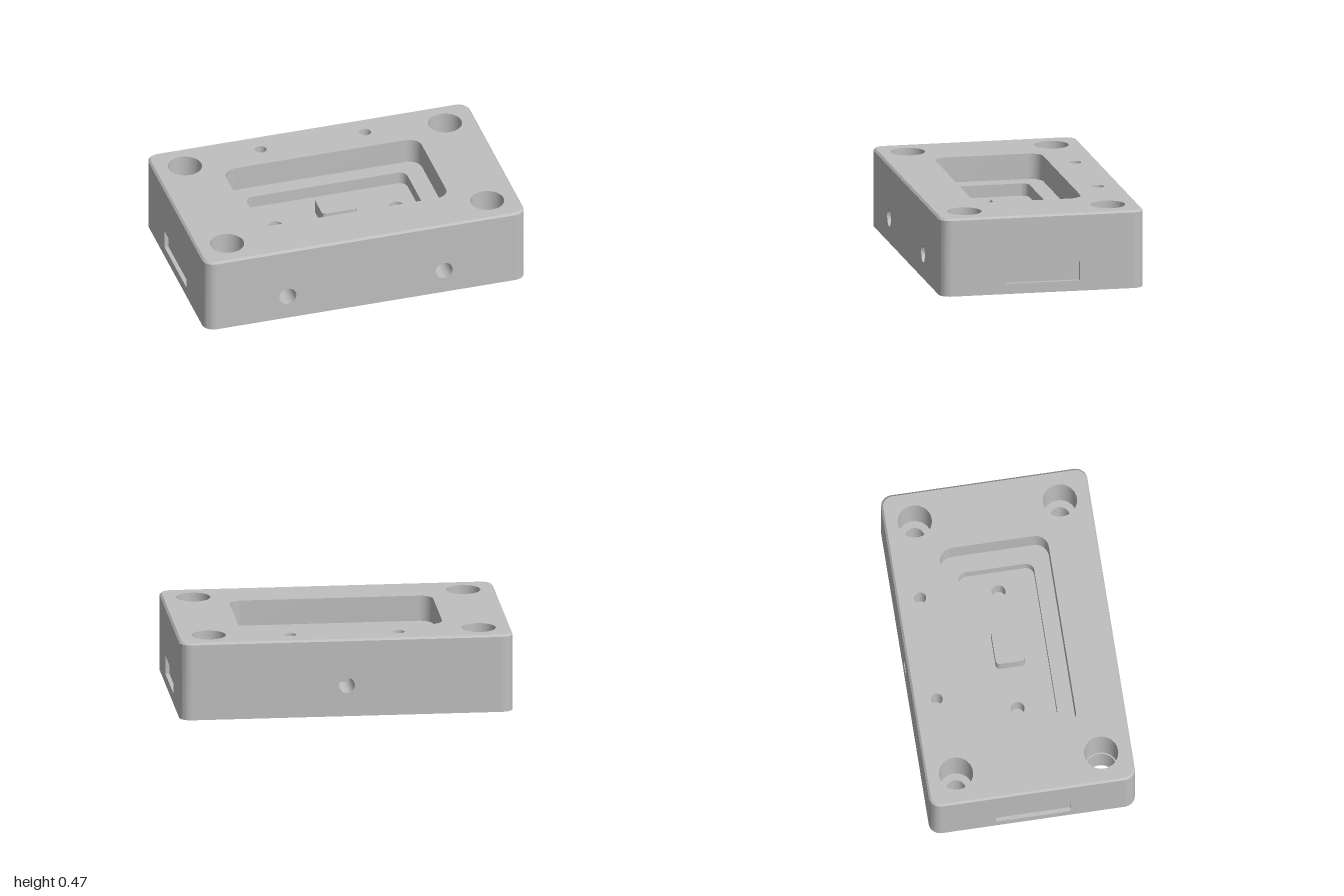
import * as THREE from 'three';
import { toCreasedNormals } from 'three/addons/utils/BufferGeometryUtils.js';

const HX = 1, HZ = 0.622, TOP = 0.475, R = 0.07, CH = 0.012;
const LEDGE = 0.32, FLOOR = 0.245;

// Counter-clockwise outlines in a local plane
function circle(cx, cy, r, n = 40) {
  return Array.from({ length: n }, (_, i) => {
    const a = (i / n) * Math.PI * 2;
    return new THREE.Vector2(cx + r * Math.cos(a), cy + r * Math.sin(a));
  });
}
function roundedRect(hx, hy, r, n = 10) {
  const pts = [];
  [[1, 1], [-1, 1], [-1, -1], [1, -1]].forEach(([sx, sy], q) => {
    for (let i = 0; i <= n; i++) {
      const a = (q + i / n) * Math.PI / 2;
      pts.push(new THREE.Vector2(sx * (hx - r) + r * Math.cos(a), sy * (hy - r) + r * Math.sin(a)));
    }
  });
  return pts;
}
function rect(x0, y0, x1, y1) {
  return [[x0, y0], [x1, y0], [x1, y1], [x0, y1]].map(p => new THREE.Vector2(...p));
}

export function createModel() {
  const model = new THREE.Group();
  model.name = 'housingBlock';
  const metal = new THREE.MeshStandardMaterial({ color: 0xbfbfbf });
  metal.name = 'grey metal';

  const add = (parent, name, geometry) => {
    const mesh = new THREE.Mesh(geometry, metal);
    mesh.name = name;
    parent.add(mesh);
    return mesh;
  };

  // Flat face at height w with holes cut out, facing local +z
  const face = (parent, name, outline, w, holes = []) => {
    const shape = new THREE.Shape(outline);
    shape.holes = holes.map(h => new THREE.Path(h));
    return add(parent, name, new THREE.ShapeGeometry(shape).translate(0, 0, w));
  };

  // Wall from outline a at height wa to outline b at height wb;
  // wa below wb faces outward, wa above wb faces inward
  const wall = (parent, name, a, wa, b, wb, maxLength = Infinity) => {
    const pos = [];
    a.forEach((p, i) => {
      const j = (i + 1) % a.length;
      if (p.distanceTo(a[j]) > maxLength || p.distanceTo(a[j]) < 1e-6) return;
      const A = [p.x, p.y, wa], B = [a[j].x, a[j].y, wa];
      const C = [b[j].x, b[j].y, wb], D = [b[i].x, b[i].y, wb];
      pos.push(...A, ...B, ...C, ...A, ...C, ...D);
    });
    const g = new THREE.BufferGeometry();
    g.setAttribute('position', new THREE.Float32BufferAttribute(pos, 3));
    return add(parent, name, toCreasedNormals(g, 0.5));
  };

  // Blind recess: inward wall plus a flat end
  const recess = (parent, name, outline, w0, w1) => {
    wall(parent, name + 'Wall', outline, w0, outline, w1);
    face(parent, name + 'End', outline, w1);
  };

  // Local frame: its +z is the outward direction of that side
  const frame = (name, rx, ry) => {
    const g = new THREE.Group();
    g.name = name;
    g.rotation.set(rx, ry, 0);
    model.add(g);
    return g;
  };

  const up = frame('upperBody', -Math.PI / 2, 0);
  const outer = roundedRect(HX, HZ, R);
  const lip = roundedRect(HX - CH, HZ - CH, R - CH);
  const pocket = roundedRect(0.61, 0.328, 0.08);
  const innerPocket = roundedRect(0.5, 0.228, 0.05);
  const boss = roundedRect(0.11, 0.088, 0.025);

  // Counterbored corner holes; the front one at -x has a wider bore
  const bolts = [[-1, -1, 0.093], [1, -1, 0.058], [1, 1, 0.058], [-1, 1, 0.058]].map(([sx, sy, r]) => ({
    bore: circle(sx * 0.81, sy * 0.438, 0.102),
    through: circle(sx * 0.81, sy * 0.438, r),
  }));
  const pins = [-1, 1].map(s => circle(s * 0.325, 0.48, 0.035, 28));
  const ports = [-1, 1].map(s => circle(s * 0.375, 0, 0.042, 28));

  // Top face, chamfer, rounded corners
  face(up, 'topFace', lip, TOP, [pocket, ...bolts.map(b => b.bore), ...pins]);
  wall(up, 'topChamfer', outer, TOP - CH, lip, TOP);
  wall(up, 'roundedCorners', outer, 0, outer, TOP - CH, 0.1);

  // Stepped pocket with central boss
  wall(up, 'pocketWall', pocket, TOP, pocket, LEDGE);
  face(up, 'pocketLedge', pocket, LEDGE, [innerPocket]);
  wall(up, 'innerPocketWall', innerPocket, LEDGE, innerPocket, FLOOR);
  face(up, 'pocketFloor', innerPocket, FLOOR, [boss, ...ports]);
  wall(up, 'bossWall', boss, FLOOR, boss, 0.33);
  face(up, 'bossTop', boss, 0.33);
  ports.forEach(p => recess(up, 'floorPort', p, FLOOR, 0.13));
  pins.forEach(p => recess(up, 'pinHole', p, TOP, 0.32));
  bolts.forEach(b => {
    wall(up, 'counterbore', b.bore, TOP, b.bore, 0.2);
    face(up, 'counterboreSeat', b.bore, 0.2, [b.through]);
    wall(up, 'throughHole', b.through, 0.2, b.through, 0);
  });

  // Underside, mirrored in local y because it is turned over
  const down = frame('underside', Math.PI / 2, 0);
  const flip = pts => pts.map(p => new THREE.Vector2(p.x, -p.y)).reverse();
  face(down, 'bottomFace', flip(outer), 0, bolts.map(b => flip(b.through)));

  // Side panels with their recesses
  const panel = (name, ry, half, offset, cuts, depth) => {
    const g = frame(name, 0, ry);
    face(g, name + 'Face', rect(-(half - R), 0, half - R, TOP - CH), offset, cuts);
    cuts.forEach(c => recess(g, name + 'Recess', c, offset, offset - depth));
  };
  panel('front', 0, HX, HZ, [-1, 1].map(s => circle(s * 0.487, 0.152, 0.053)), 0.3);
  panel('back', Math.PI, HX, HZ, [circle(0, 0.19, 0.047)], 0.25);
  for (const s of [-1, 1]) {
    panel(s > 0 ? 'leftSide' : 'rightSide', s * Math.PI / 2, HZ, HX,
      [rect(-0.225, 0.063, 0.225, 0.178)], 0.025);
  }

  return model;
}
